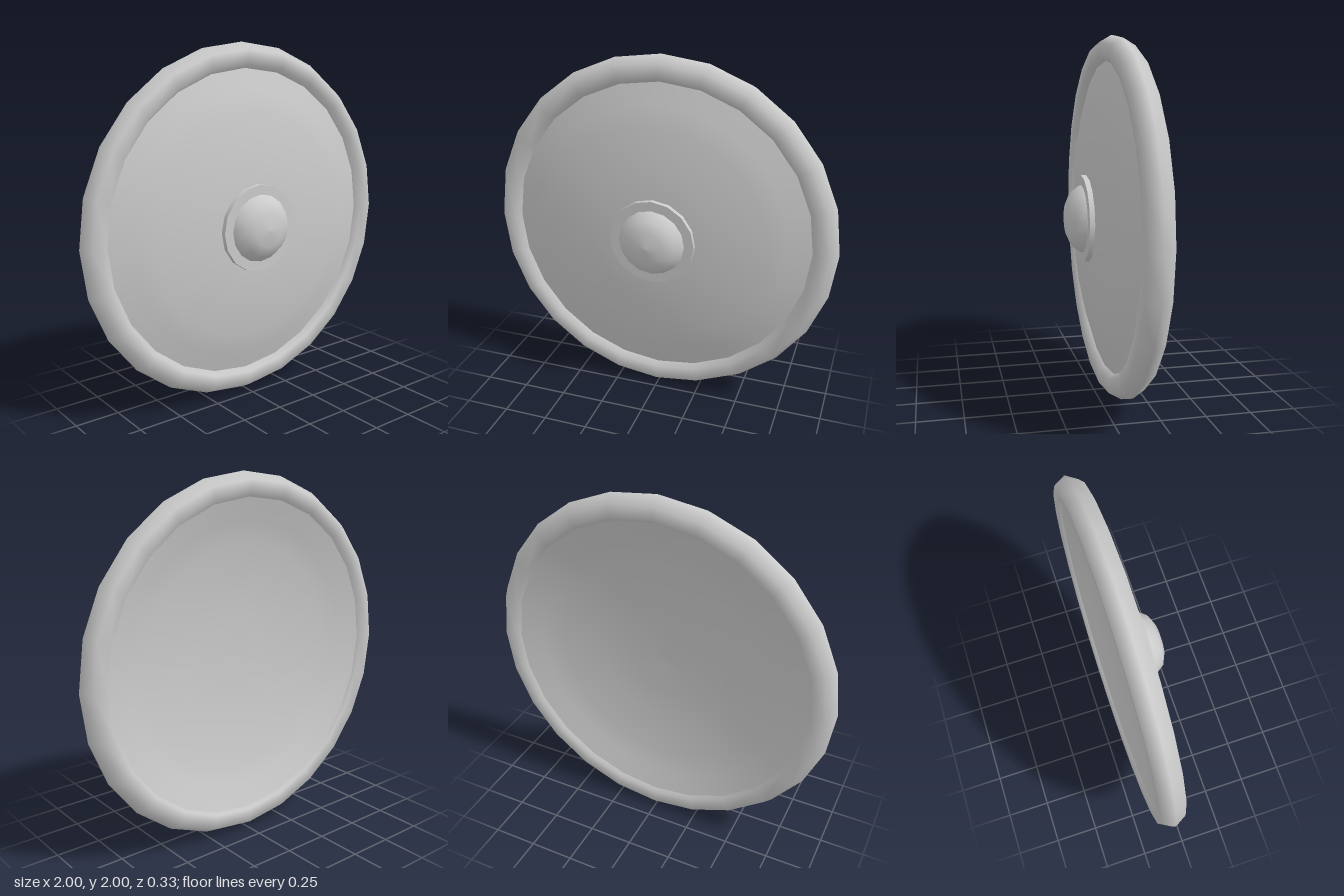
import * as THREE from 'three';

const material = new THREE.MeshStandardMaterial({ color: 0xcccccc });

// Turns [radius, z] points around the z axis; points run from the rim to the front
const turned = (points, sides) =>
  new THREE.LatheGeometry(points.map(([r, z]) => new THREE.Vector2(r, z)), sides).rotateX(Math.PI / 2);

export function createModel() {
  const shield = new THREE.Group();
  shield.name = 'roundShield';

  const add = (name, geometry, z = 0) => {
    const mesh = new THREE.Mesh(geometry, material);
    mesh.name = name;
    mesh.position.set(0, 1, z);
    shield.add(mesh);
  };

  // Thick rim with a hexagonal section, pointed outwards
  add('rim', new THREE.TorusGeometry(0.922, 0.078, 6, 24), -0.098);

  // Shallow bowl with some thickness: bulging front and hollow back, both ending inside the rim
  const dish = [
    [0.92, -0.085], [0.745, -0.03], [0.63, 0], [0.385, 0.036], [0.2, 0.046], [0, 0.05],
  ];
  const thickness = 0.075;
  add('dishFront', turned(dish, 24));
  add('dishBack', turned(dish.map(([r, z]) => [r, z - thickness]).reverse(), 24));

  // Flat collar around the boss
  add('collar', new THREE.CylinderGeometry(0.243, 0.243, 0.04, 16).rotateX(Math.PI / 2), 0.052);

  // Rounded boss, slightly flattened at the front
  add('boss', turned([[0.193, 0.045], [0.188, 0.075], [0.15, 0.128], [0.09, 0.155], [0, 0.166]], 16));

  return shield;
}
